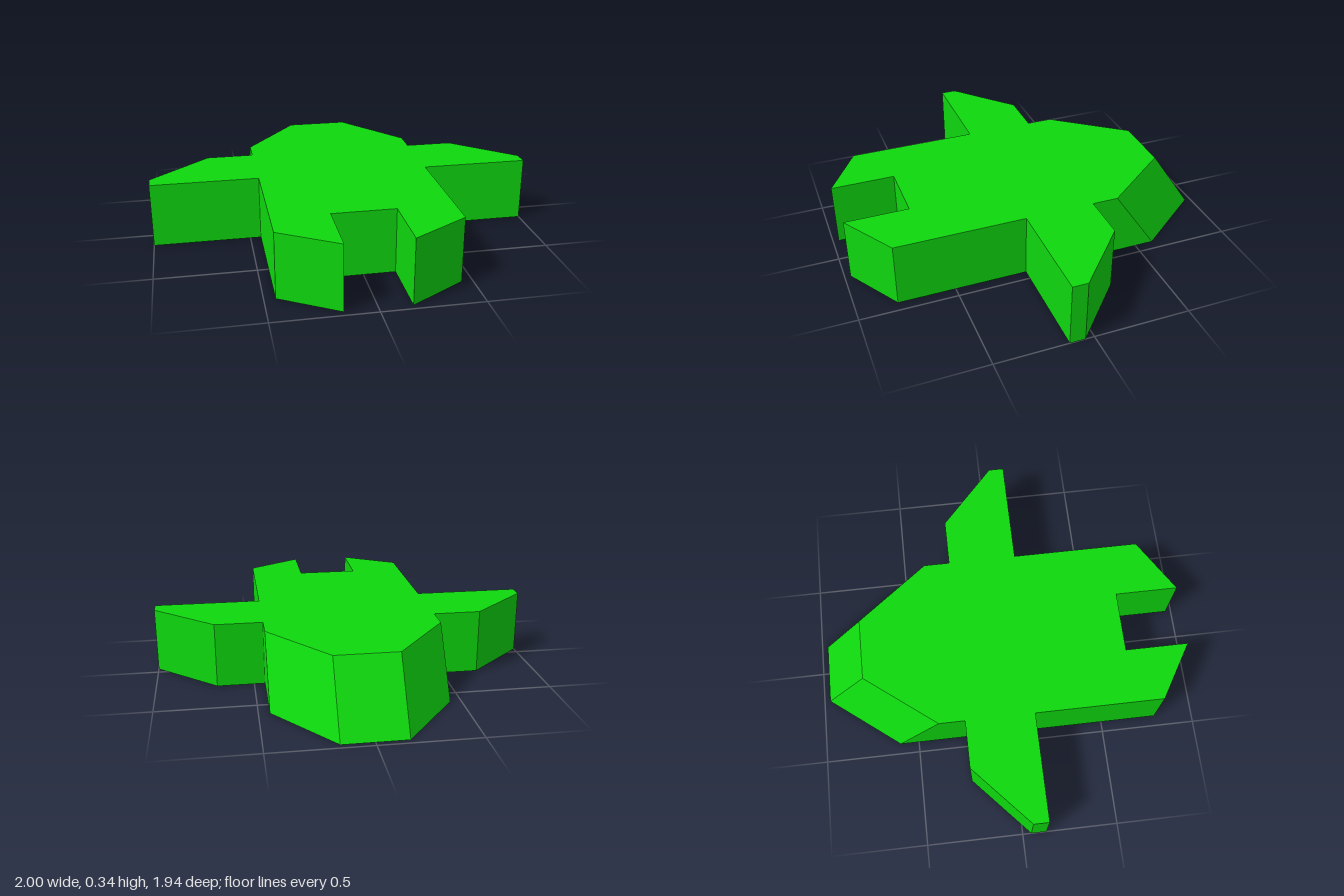
import * as THREE from 'three';

const HEIGHT = 0.335;
const NOSE_SLOPE = 0.23; // how far the nose leans back at the top

// Right half of the plan outline as [x, z], from nose to tail notch
const HALF = [
  [0.16, -0.97], [0.445, -0.6],                                  // nose
  [0.445, -0.235], [0.69, -0.235], [1, 0.045], [1, 0.125], [0.445, 0.125], // wing
  [0.445, 0.795], [0.16, 0.97], [0.16, 0.64],                    // tail prong
];

export function createModel() {
  const green = new THREE.MeshStandardMaterial({ color: 0x0ed80e });
  green.name = 'bright green';

  // Mirror the half outline and extrude it upward
  const mirrored = HALF.map(([x, z]) => [-x, z]).reverse();
  const outline = [...HALF, ...mirrored].map(([x, z]) => new THREE.Vector2(x, -z));
  const geometry = new THREE.ExtrudeGeometry(new THREE.Shape(outline), {
    depth: HEIGHT, bevelEnabled: false,
  });
  geometry.rotateX(-Math.PI / 2);

  // Slide the upper nose corners back to slope the nose faces
  const pos = geometry.attributes.position;
  for (let i = 0; i < pos.count; i++) {
    if (pos.getY(i) > HEIGHT / 2 && pos.getZ(i) < -0.5) {
      pos.setZ(i, pos.getZ(i) + NOSE_SLOPE);
    }
  }
  geometry.computeVertexNormals();

  const hull = new THREE.Mesh(geometry, green);
  hull.name = 'wingedHull';

  const model = new THREE.Group();
  model.name = 'glider';
  model.add(hull);
  return model;
}
